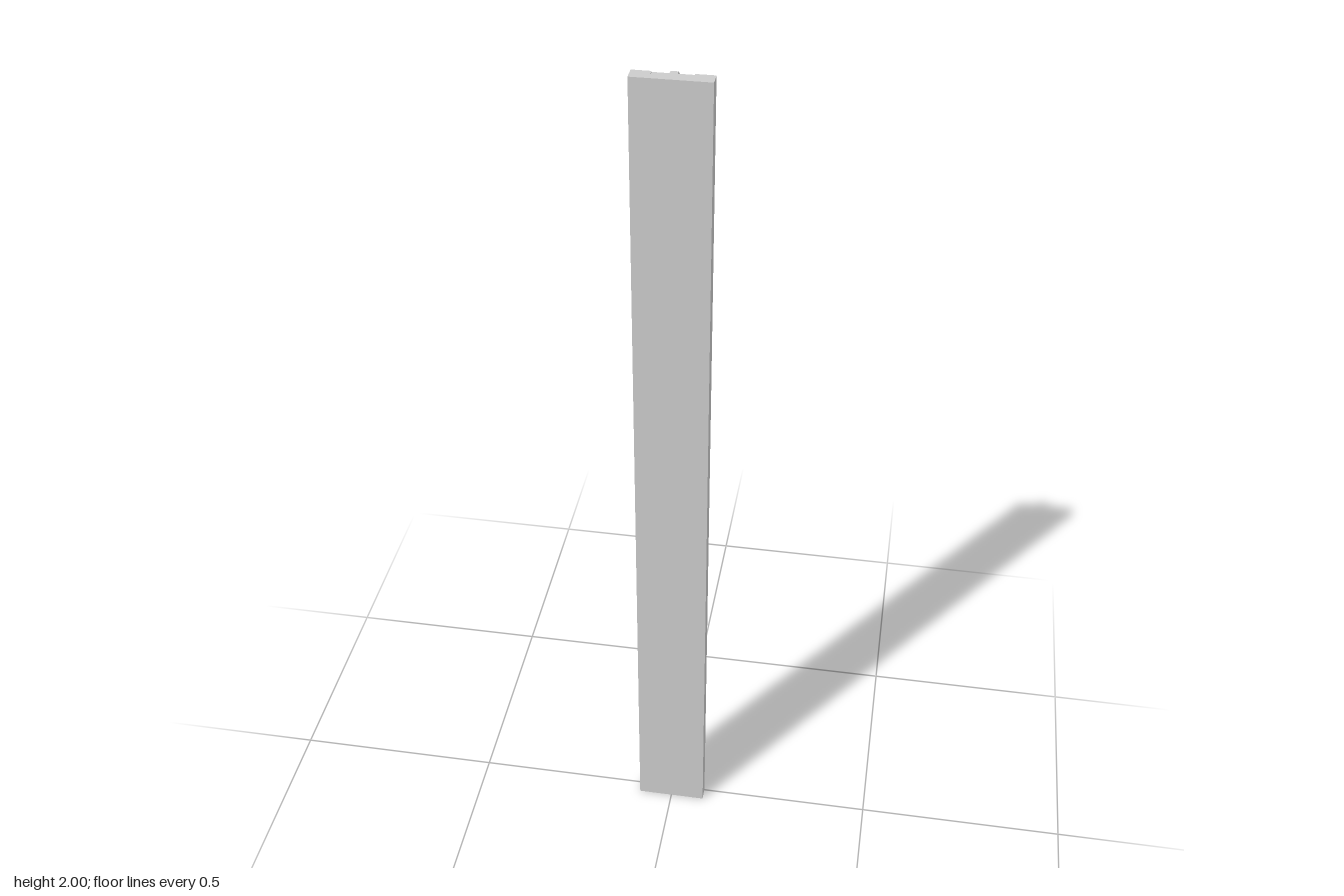
import * as THREE from 'three';

const W = 0.083, H = 2;              // panel half width and height
const FRONT = 0.031, BACK = -0.002;  // panel faces in z
const FLOOR = 0.015;                 // depth of the groove floor in z
const G = 0.042;                     // groove half width

const material = new THREE.MeshStandardMaterial({ color: 0xcccccc, flatShading: true });

function add(group, name, geometry) {
  const mesh = new THREE.Mesh(geometry, material);
  mesh.name = name;
  group.add(mesh);
  return mesh;
}

const shapeOf = (pts) => new THREE.Shape(pts.map(([a, b]) => new THREE.Vector2(a, b)));

// Prism across x from a (z, y) profile; halfWidth(y) gives its half width
function prism(profile, halfWidth) {
  const g = new THREE.ExtrudeGeometry(shapeOf(profile), { depth: 2, bevelEnabled: false });
  g.translate(0, 0, -1).rotateY(-Math.PI / 2);
  const p = g.attributes.position;
  for (let i = 0; i < p.count; i++) p.setX(i, p.getX(i) * halfWidth(p.getY(i)));
  g.computeVertexNormals();
  return g;
}

export function createModel() {
  const model = new THREE.Group();
  model.name = 'groovedSlat';

  // Front board
  const board = add(model, 'frontBoard', new THREE.BoxGeometry(2 * W, H, FRONT - FLOOR));
  board.position.set(0, H / 2, (FRONT + FLOOR) / 2);

  // Back layer, cut by a groove open at the top and narrowing on one side below
  const back = shapeOf([
    [-W, 0], [W, 0], [W, H], [G, H], [G, 0.48], [0.003, 0.02], [-G, 0.02], [-G, H], [-W, H],
  ]);
  const rails = add(model, 'backRails',
    new THREE.ExtrudeGeometry(back, { depth: FLOOR - BACK, bevelEnabled: false }));
  rails.position.z = BACK;

  // Groove floor rising to the surface near the bottom
  add(model, 'grooveRamp', prism([[FLOOR, 0.48], [FLOOR, 0.02], [BACK, 0.02]], () => G));

  // Fan-shaped catch at the top, narrowing downward
  add(model, 'catchWedge', prism(
    [[FLOOR, 1.998], [FLOOR, 1.91], [-0.015, 1.99], [BACK, 1.998]],
    (y) => THREE.MathUtils.mapLinear(y, 1.91, 1.998, 0.016, G)));

  // Central fin of the catch
  add(model, 'catchFin', prism(
    [[FLOOR, 1.997], [FLOOR, 1.9], [-0.031, 1.985], [-0.015, 1.997]], () => 0.008));

  return model;
}
